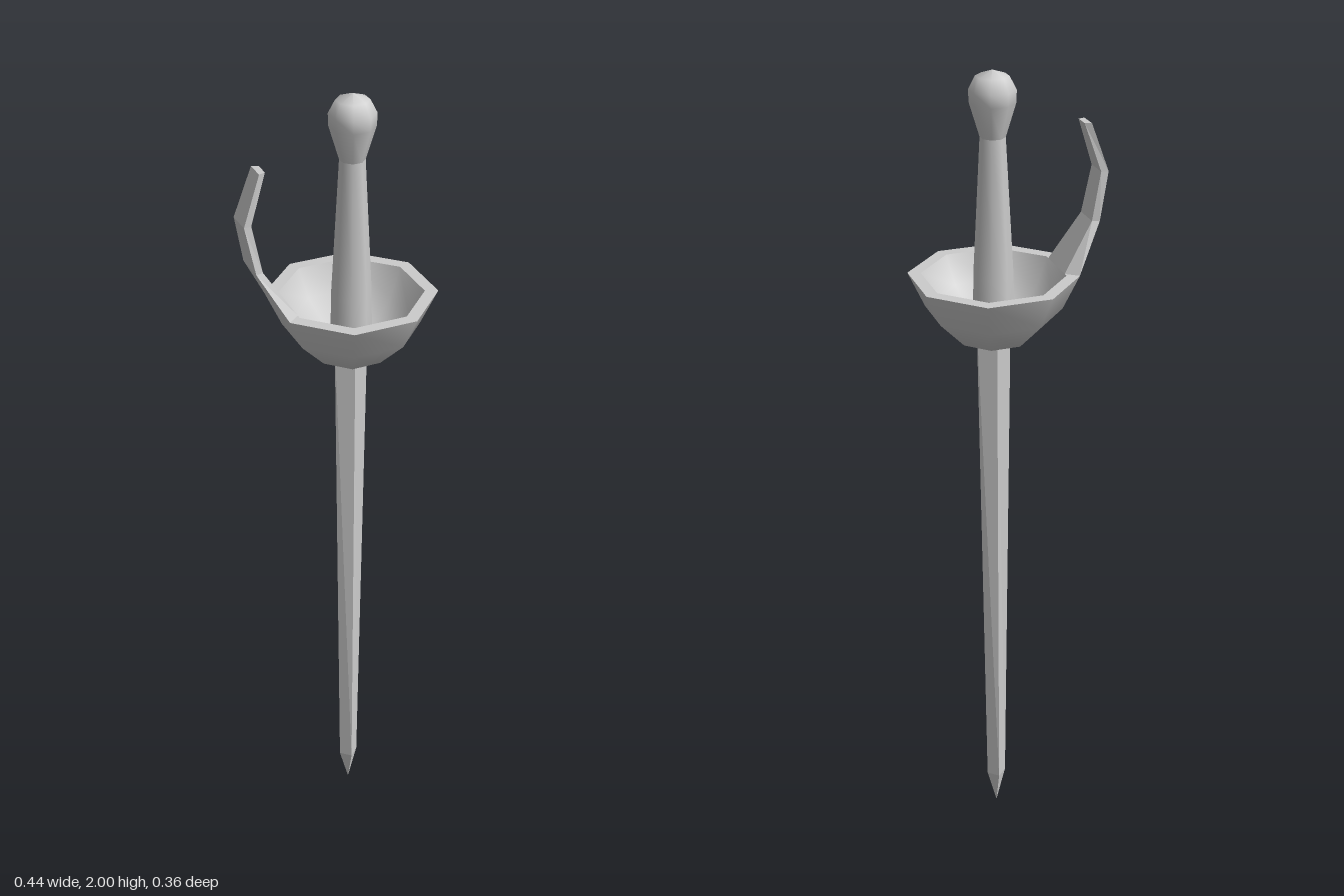
import * as THREE from 'three';

const AXIS_X = 0.04; // blade, cup and grip share this axis
const material = (flatShading = false) =>
  new THREE.MeshStandardMaterial({ color: 0xcccccc, flatShading });

// Eight-sided turned shape; the radius is measured to the flat sides
function turned(name, profile) {
  const k = 1 / Math.cos(Math.PI / 8);
  const points = profile.map(([r, y]) => new THREE.Vector2(r * k, y));
  const mesh = new THREE.Mesh(new THREE.LatheGeometry(points, 8, Math.PI / 8), material());
  mesh.name = name;
  mesh.position.x = AXIS_X;
  return mesh;
}

// Faceted skin over four-cornered sections, listed from bottom to top
function loft(name, sections) {
  const index = [];
  for (let s = 0; s < sections.length - 1; s++) {
    for (let i = 0; i < 4; i++) {
      const a = s * 4 + i, b = s * 4 + (i + 1) % 4;
      index.push(a, a + 4, b + 4, a, b + 4, b);
    }
  }
  const t = (sections.length - 1) * 4;
  index.push(0, 1, 2, 0, 2, 3, t, t + 3, t + 2, t, t + 2, t + 1);
  const geometry = new THREE.BufferGeometry();
  geometry.setAttribute('position', new THREE.Float32BufferAttribute(sections.flat(2), 3));
  geometry.setIndex(index);
  geometry.computeVertexNormals();
  const mesh = new THREE.Mesh(geometry, material(true));
  mesh.name = name;
  return mesh;
}

export function createModel() {
  const sword = new THREE.Group();
  sword.name = 'sword';

  // Diamond-section blade: [y, half width, half depth]
  const blade = [[0, 0, 0], [0.1, 0.025, 0.023], [1.42, 0.041, 0.024]];
  sword.add(loft('blade', blade.map(([y, w, d]) => [
    [AXIS_X - w, y, 0], [AXIS_X, y, -d], [AXIS_X + w, y, 0], [AXIS_X, y, d],
  ])));

  // Hollow cup: outside, flat rim and inside
  const cup = new THREE.Group();
  cup.name = 'cupGuard';
  cup.add(
    turned('cupOutside', [[0, 1.377], [0.083, 1.392], [0.145, 1.46], [0.18, 1.54]]),
    turned('cupRim', [[0.18, 1.54], [0.152, 1.54]]),
    turned('cupInside', [[0.152, 1.54], [0.122, 1.473], [0.07, 1.416], [0, 1.402]]),
  );
  sword.add(cup);

  // Tapered grip and rounded pommel
  sword.add(turned('grip', [[0.044, 1.4], [0.042, 1.54], [0.026, 1.86]]));
  sword.add(turned('pommel', [
    [0.026, 1.855], [0.047, 1.93], [0.048, 1.958], [0.034, 1.987], [0, 2],
  ]));

  // Curved knuckle bow: [y, outer x, outer half width, inner x, inner half width]
  const bow = [
    [1.54, -0.14, 0.074, -0.112, 0.052],
    [1.65, -0.2, 0.038, -0.183, 0.033],
    [1.76, -0.221, 0.03, -0.204, 0.028],
    [1.87, -0.181, 0.023, -0.166, 0.018],
  ];
  sword.add(loft('knuckleBow', bow.map(([y, xo, wo, xi, wi]) => [
    [xo, y, wo], [xo, y, -wo], [xi, y, -wi], [xi, y, wi],
  ])));

  return sword;
}
